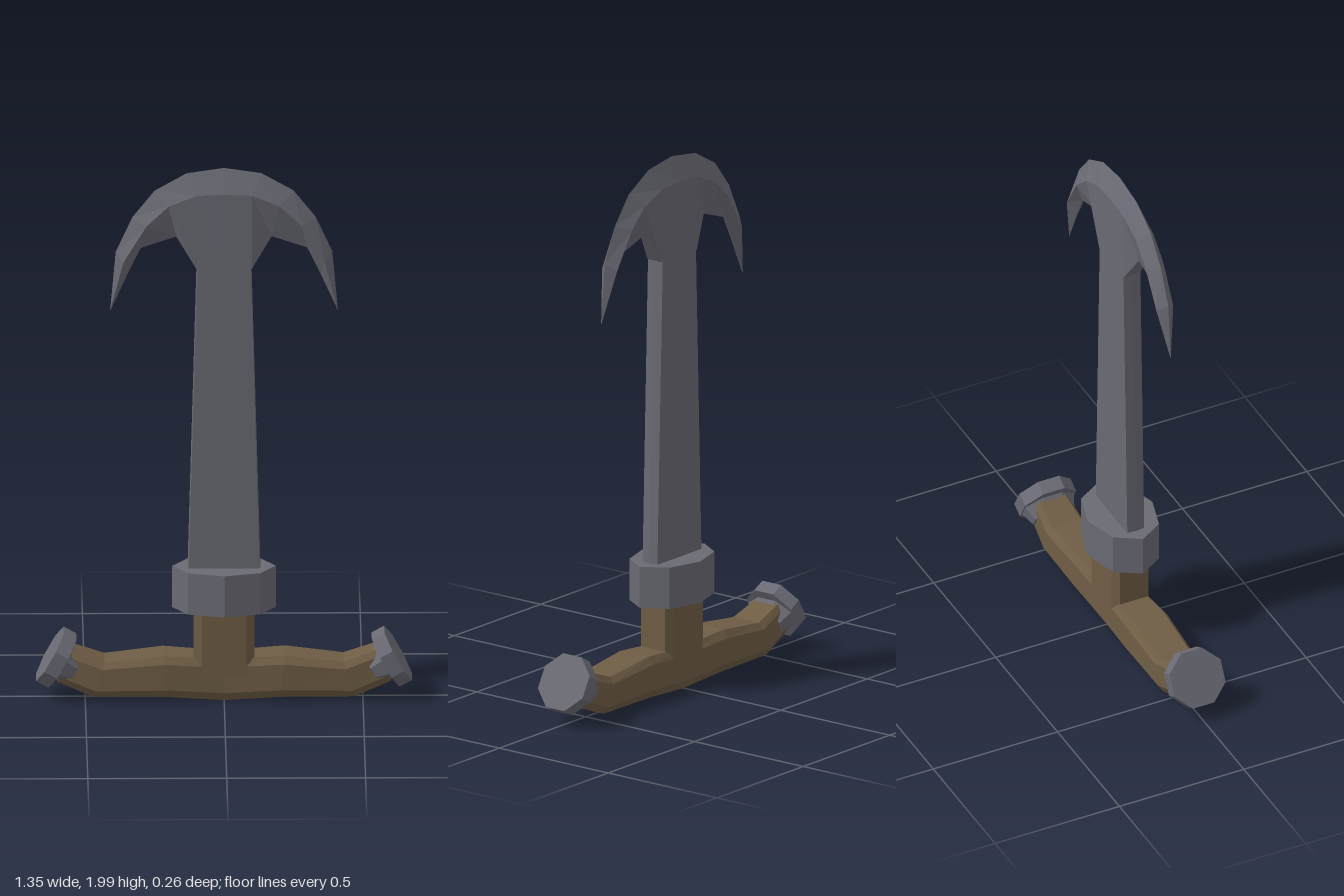
import * as THREE from 'three';

// Closed faceted solid through cross-sections with equal point counts
function loft(sections) {
  const tris = [];
  const n = sections[0].length;
  for (let i = 0; i < sections.length - 1; i++) {
    const a = sections[i], b = sections[i + 1];
    for (let j = 0; j < n; j++) {
      const k = (j + 1) % n;
      tris.push([a[j], b[j], b[k]], [a[j], b[k], a[k]]);
    }
  }
  const first = sections[0], last = sections[sections.length - 1];
  for (let j = 1; j < n - 1; j++) {
    tris.push([first[0], first[j], first[j + 1]], [last[0], last[j + 1], last[j]]);
  }
  // Make every face point outwards, judged by the signed volume
  const v = (p) => new THREE.Vector3(...p);
  const volume = tris.reduce((s, [a, b, c]) => s + v(a).dot(v(b).cross(v(c))), 0);
  const ordered = volume < 0 ? tris.map(([a, b, c]) => [a, c, b]) : tris;
  const geometry = new THREE.BufferGeometry();
  geometry.setAttribute('position', new THREE.Float32BufferAttribute(ordered.flat(2), 3));
  geometry.computeVertexNormals();
  return geometry;
}

// Vertical prism from [x, z] outlines at given heights
const prism = (levels) => loft(levels.map(([y, outline]) => outline.map(([x, z]) => [x, y, z])));

// Mirror a half list of [x, ...] rows that starts at x = 0
const mirrorRows = (rows, flip) => [...rows.slice(1).reverse().map(flip), ...rows];

export function createModel() {
  const group = new THREE.Group();
  const steel = new THREE.MeshStandardMaterial({ name: 'dark steel', color: 0x6a6a74 });
  const wood = new THREE.MeshStandardMaterial({ name: 'brown wood', color: 0x6f5d45 });
  const add = (name, geometry, material, parent = group) => {
    const mesh = new THREE.Mesh(geometry, material);
    mesh.name = name;
    parent.add(mesh);
    return mesh;
  };

  // Crossbar grip: chamfered sections with a gentle upward bend at the ends
  // [x top, x bottom, y top, y bottom, half depth]
  const barRows = mirrorRows([
    [0, 0, 0.165, 0.01, 0.07],
    [0.22, 0.2, 0.18, 0.025, 0.083],
    [0.43, 0.47, 0.155, 0.025, 0.077],
    [0.55, 0.6, 0.197, 0.08, 0.066],
  ], ([a, b, ...rest]) => [-a, -b, ...rest]);
  const barSection = ([xt, xb, yt, yb, d]) =>
    [[0, 0.76], [0.2, 1], [0.82, 1], [1, 0.76], [1, -0.76], [0.82, -1], [0.2, -1], [0, -0.76]]
      .map(([t, s]) => [xb + (xt - xb) * t, yb + (yt - yb) * t, s * d]);
  add('crossbarGrip', loft(barRows.map(barSection)), wood);

  // Neck between crossbar and collar
  const neck = [[0.11, 0.055], [0.08, 0.075], [-0.08, 0.075], [-0.11, 0.055],
    [-0.11, -0.055], [-0.08, -0.075], [0.08, -0.075], [0.11, -0.055]];
  add('neck', prism([[0.1, neck], [0.36, neck]]), wood);

  // Eight-sided collar
  const collar = [[0.187, 0], [0.13, 0.092], [0, 0.13], [-0.13, 0.092],
    [-0.187, 0], [-0.13, -0.092], [0, -0.13], [0.13, -0.092]];
  add('collar', prism([[0.345, collar], [0.5, collar]]), steel);

  // Tapering shaft with thin side edges
  const shaft = (w) => [[w, 0], [w * 0.97, 0.034], [0, 0.036], [-w * 0.97, 0.034],
    [-w, 0], [-w * 0.97, -0.034], [0, -0.036], [w * 0.97, -0.034]];
  add('shaft', prism([[0.48, shaft(0.132)], [1.64, shaft(0.099)]]), steel);

  // Curved head: sharp outer rim, thick ridge and thin inner edge, down to two tips
  // [outer x, y, ridge x, y, inner x, y, ridge depth, inner depth]
  const headRows = mirrorRows([
    [0, 2, 0, 1.91, 0, 1.63, 0.036, 0.036],
    [0.135, 1.98, 0.1, 1.905, 0.1, 1.63, 0.036, 0.034],
    [0.25, 1.915, 0.2, 1.865, 0.172, 1.745, 0.036, 0.01],
    [0.33, 1.815, 0.28, 1.79, 0.3, 1.7, 0.036, 0.003],
    [0.39, 1.685, 0.362, 1.655, 0.348, 1.6, 0.034, 0.002],
    [0.41, 1.465, 0.409, 1.466, 0.408, 1.467, 0.001, 0.001],
  ], ([a, b, c, d, e, ...rest]) => [-a, b, -c, d, -e, ...rest]);
  const headSection = ([ox, oy, mx, my, ix, iy, mz, iz]) =>
    [[ox, oy, 0], [mx, my, mz], [ix, iy, iz], [ix, iy, -iz], [mx, my, -mz]];
  add('curvedHead', loft(headRows.map(headSection)), steel);

  // Tilted eight-sided end caps with a narrowing inner side
  const ring = (y, r, depth) => Array.from({ length: 8 }, (_, i) => {
    const a = (i + 0.5) * Math.PI / 4;
    return [Math.cos(a) * r, y, Math.sin(a) * depth];
  });
  const capGeometry = loft([
    ring(-0.105, 0.05, 0.085),
    ring(-0.052, 0.075, 0.105),
    ring(-0.052, 0.111, 0.111),
    ring(0, 0.111, 0.111),
  ]);
  for (const side of [1, -1]) {
    const cap = add(side > 0 ? 'leftEndCap' : 'rightEndCap', capGeometry, steel);
    cap.position.set(side * 0.627, 0.17, 0);
    cap.rotation.z = -side * 1.062;
  }
  return group;
}
